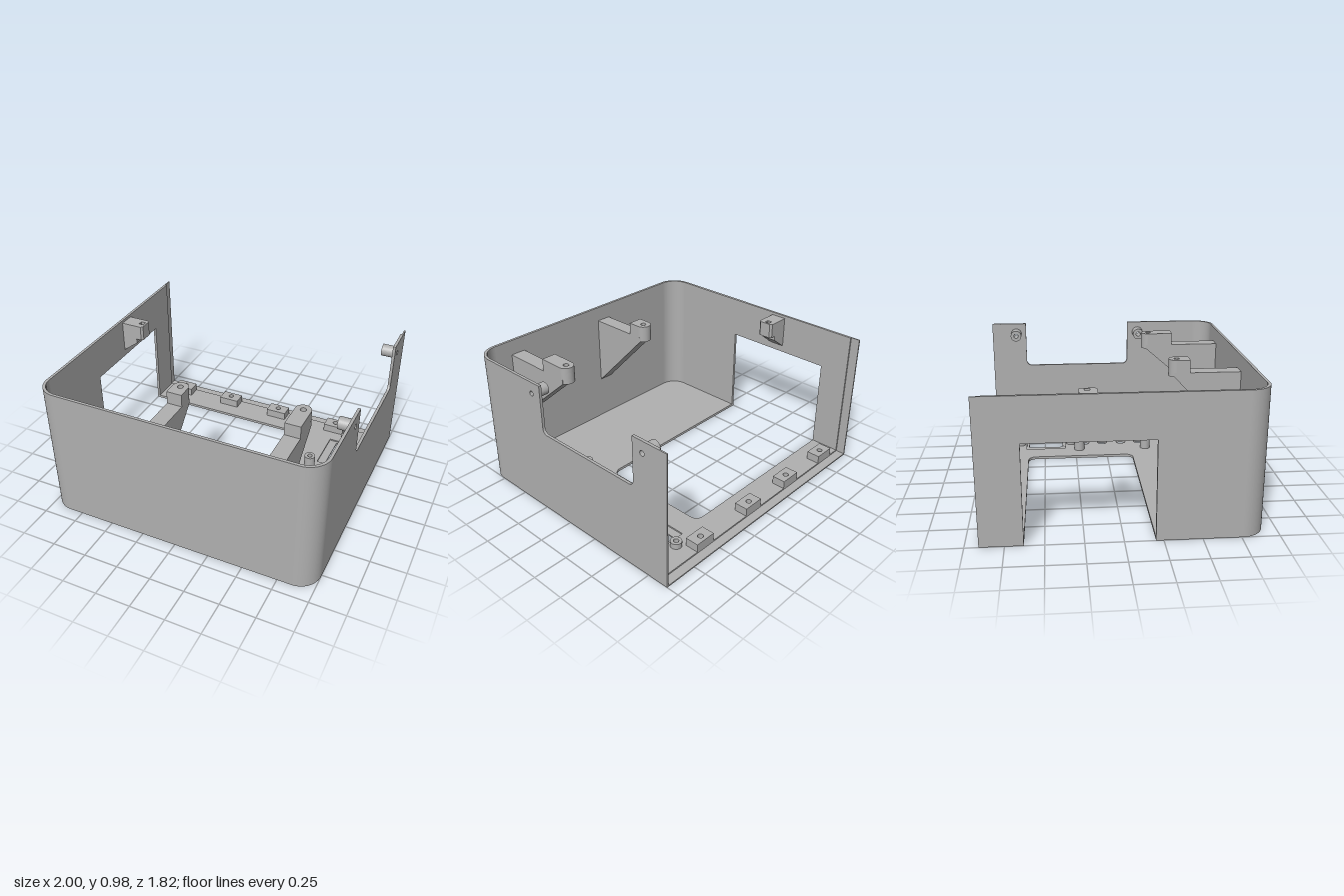
import * as THREE from 'three';

const plastic = new THREE.MeshStandardMaterial({ color: 0xb0b0b0 });
plastic.name = 'grey plastic';

const H = 0.98, BACK = -0.91, REBATE = -0.845, FRONT = 0.91, R = 0.15;

function poly(points) {
  return new THREE.Shape(points.map(([a, b]) => new THREE.Vector2(a, b)));
}
function rect(x0, y0, x1, y1) {
  return poly([[x0, y0], [x1, y0], [x1, y1], [x0, y1]]);
}
function disc(x, y, r) {
  const s = new THREE.Shape();
  s.absarc(x, y, r, 0, Math.PI * 2, false);
  return s;
}
function pierce(shape, ...holes) {
  shape.holes.push(...holes);
  return shape;
}

export function createModel() {
  const model = new THREE.Group();
  model.name = 'enclosure';

  function add(name, geometry) {
    const mesh = new THREE.Mesh(geometry, plastic);
    mesh.name = name;
    model.add(mesh);
  }
  const extrude = (shape, depth) =>
    new THREE.ExtrudeGeometry(shape, { depth, bevelEnabled: false, curveSegments: 24 });
  // Shape drawn in (x, z), filled between heights y0 and y1
  function plate(name, shape, y0, y1) {
    add(name, extrude(shape, y1 - y0).rotateX(Math.PI / 2).translate(0, y1, 0));
  }
  // Shape drawn in (z, y), filled between x0 and x1
  function panel(name, shape, x0, x1) {
    add(name, extrude(shape, x1 - x0).rotateY(-Math.PI / 2).translate(x1, 0, 0));
  }

  // Floor outline with the large opening running out through the -x side
  function floorShape(inset, back) {
    const w = 1 - inset, f = FRONT - inset, r = R - inset, c = 0.06;
    const s = new THREE.Shape();
    s.moveTo(-w, back);
    s.lineTo(w, back);
    s.lineTo(w, f - r);
    s.absarc(w - r, f - r, r, 0, Math.PI / 2, false);
    s.lineTo(-w + r, f);
    s.absarc(-w + r, f - r, r, Math.PI / 2, Math.PI, false);
    s.lineTo(-w, 0.2);
    s.lineTo(0.41 - c, 0.2);
    s.absarc(0.41 - c, 0.2 - c, c, Math.PI / 2, 0, true);
    s.lineTo(0.41, -0.63 + c);
    s.absarc(0.41 - c, -0.63 + c, c, 0, -Math.PI / 2, true);
    s.lineTo(-w, -0.63);
    return pierce(s, ...[-0.17, -0.025, 0.13, 0.28].map(z => disc(0.695, z, 0.038)));
  }
  plate('floorBottom', pierce(floorShape(0, BACK), rect(0.64, -0.63, 0.8, -0.355)), 0, 0.01);
  plate('floorTop', pierce(floorShape(0.01, REBATE), rect(0.58, -0.65, 0.81, -0.335)), 0.01, 0.02);

  // Front wall with rounded corners
  const front = new THREE.Shape();
  const zc = FRONT - R, ri = R - 0.02;
  front.moveTo(1, zc);
  front.absarc(1 - R, zc, R, 0, Math.PI / 2, false);
  front.absarc(-1 + R, zc, R, Math.PI / 2, Math.PI, false);
  front.lineTo(-0.98, zc);
  front.absarc(-1 + R, zc, ri, Math.PI, Math.PI / 2, true);
  front.absarc(1 - R, zc, ri, Math.PI / 2, 0, true);
  plate('frontWall', front, 0.01, H);

  // Side walls: an outer and an inner skin, stepped at the back edge
  const screwZ = [0.295, -0.715], screwY = 0.895;
  function notchedWall(back, y0) {
    const s = new THREE.Shape(), c = 0.04, b = 0.625;
    s.moveTo(back, y0);
    s.lineTo(zc, y0);
    s.lineTo(zc, H);
    s.lineTo(0.21, H);
    s.lineTo(0.21, b + c);
    s.absarc(0.21 - c, b + c, c, 0, -Math.PI / 2, true);
    s.lineTo(-0.635 + c, b);
    s.absarc(-0.635 + c, b + c, c, -Math.PI / 2, -Math.PI, true);
    s.lineTo(-0.635, H);
    s.lineTo(back, H);
    return pierce(s, ...screwZ.map(z => disc(z, screwY, 0.018)));
  }
  const windowWall = (back, y0) => poly([
    [back, y0], [-0.63, y0], [-0.63, 0.68], [0.2, 0.68],
    [0.2, y0], [zc, y0], [zc, H], [back, H]]);
  panel('leftWallOuter', notchedWall(BACK, 0.01), 0.99, 1);
  panel('leftWallInner', notchedWall(REBATE, 0.02), 0.98, 0.99);
  panel('rightWallOuter', windowWall(BACK, 0.01), -1, -0.99);
  panel('rightWallInner', windowWall(REBATE, 0.02), -0.99, -0.98);

  // Screw bosses inside the notched wall
  for (const z of screwZ)
    panel('wallBoss', pierce(disc(z, screwY, 0.043), disc(z, screwY, 0.018)), 0.89, 0.98);

  // Back panel mounting blocks
  for (const x of [-0.81, -0.37, 0.065, 0.57])
    plate('mountingBlock',
      pierce(rect(x - 0.08, REBATE, x + 0.08, -0.745), disc(x, -0.8, 0.02)), 0.02, 0.08);

  // Floor standoffs: four tall, two short
  const standoffs = [
    [0.555, -0.22, 0.15], [0.84, -0.22, 0.15], [0.555, 0.32, 0.15], [0.84, 0.32, 0.15],
    [0.695, -0.7, 0.06], [0.695, -0.285, 0.06]];
  for (const [x, z, top] of standoffs)
    plate('standoff', pierce(disc(x, z, 0.04), disc(x, z, 0.018)), 0.02, top);
  plate('locatingRib', rect(0.82, -0.56, 0.86, -0.43), 0.02, 0.03);

  // Front brackets: sloped arm carrying a rounded screw boss
  for (const [x, end] of [[-0.165, 0.385], [0.665, 0.29]]) {
    const w = 0.055, c = end + w;
    const boss = new THREE.Shape();
    boss.moveTo(x + w, 0.53);
    boss.lineTo(x - w, 0.53);
    boss.lineTo(x - w, c);
    boss.absarc(x, c, w, Math.PI, Math.PI * 2, false);
    plate('bracketBoss', pierce(boss, disc(x, c, 0.02)), 0.87, 0.96);
    plate('bracketBossBase', boss.clone().copy(new THREE.Shape(boss.getPoints(24))), 0.84, 0.87);
    panel('bracketArm',
      poly([[c - 0.02, 0.84], [0.895, 0.345], [0.895, 0.87], [c - 0.02, 0.87]]), x - w, x + w);
  }

  // Wall tab with a sloped support
  const tab = poly([[-0.98, -0.27], [-0.825, -0.27], [-0.81, -0.255],
    [-0.81, -0.17], [-0.825, -0.155], [-0.98, -0.155]]);
  plate('tabPlate', pierce(tab, rect(-0.862, -0.235, -0.825, -0.2)), 0.85, 0.96);
  const wedge = poly([[-0.98, 0.73], [-0.865, 0.815], [-0.865, 0.85], [-0.98, 0.85]]);
  add('tabSupport', extrude(wedge, 0.115).translate(0, 0, -0.27));

  return model;
}
